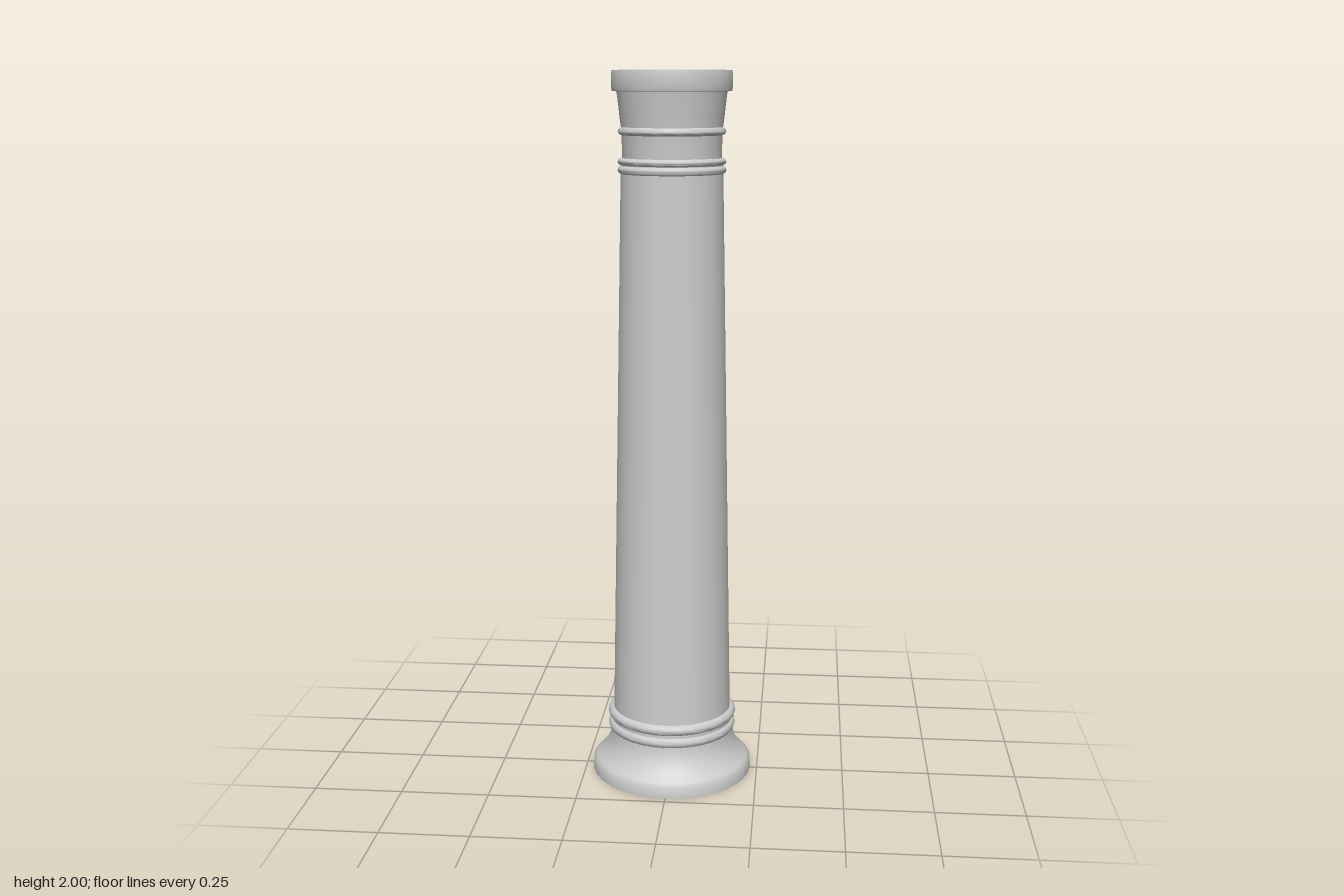
import * as THREE from 'three';
import { toCreasedNormals } from 'three/addons/utils/BufferGeometryUtils.js';

const SIDES = 32;
const material = new THREE.MeshStandardMaterial({ color: 0xcccccc, side: THREE.DoubleSide });

// Revolve [radius, height] pairs listed from bottom to top
function turned(name, profile) {
  const points = profile.map(([r, y]) => new THREE.Vector2(r, y));
  const mesh = new THREE.Mesh(toCreasedNormals(new THREE.LatheGeometry(points, SIDES), 0.7), material);
  mesh.name = name;
  return mesh;
}

// Half-round moulding standing out from an inner radius
function bead(name, inner, outer, y, halfHeight) {
  const profile = [];
  for (let i = 0; i <= 6; i++) {
    const a = -Math.PI / 2 + (Math.PI * i) / 6;
    profile.push([inner + (outer - inner) * Math.cos(a), y + halfHeight * Math.sin(a)]);
  }
  return turned(name, profile);
}

export function createModel() {
  const column = new THREE.Group();
  column.name = 'column';

  // Hollow flared foot, open underneath
  column.add(turned('base', [
    [0.229, 0], [0.229, 0.033], [0.222, 0.042], [0.21, 0.052], [0.197, 0.068],
    [0.187, 0.085], [0.179, 0.105], [0.175, 0.128], [0.174, 0.16],
  ]));
  column.add(bead('lowerBaseRing', 0.173, 0.184, 0.142, 0.014));
  column.add(bead('upperBaseRing', 0.17, 0.185, 0.179, 0.015));

  // Tapering shaft
  column.add(turned('shaft', [[0.172, 0.155], [0.169, 0.2], [0.14, 1.725], [0.138, 1.76]]));
  column.add(bead('lowerNeckRing', 0.138, 0.148, 1.737, 0.011));
  column.add(bead('upperNeckRing', 0.135, 0.148, 1.759, 0.01));

  // Neck widening towards the cap
  column.add(turned('neck', [[0.135, 1.755], [0.137, 1.84], [0.141, 1.87], [0.147, 1.925], [0.15, 1.946]]));
  column.add(bead('neckBand', 0.136, 0.147, 1.84, 0.011));

  // Closed cap
  column.add(turned('cap', [[0.148, 1.944], [0.162, 1.946], [0.164, 1.955], [0.164, 1.99], [0.162, 2], [0, 2]]));
  return column;
}
